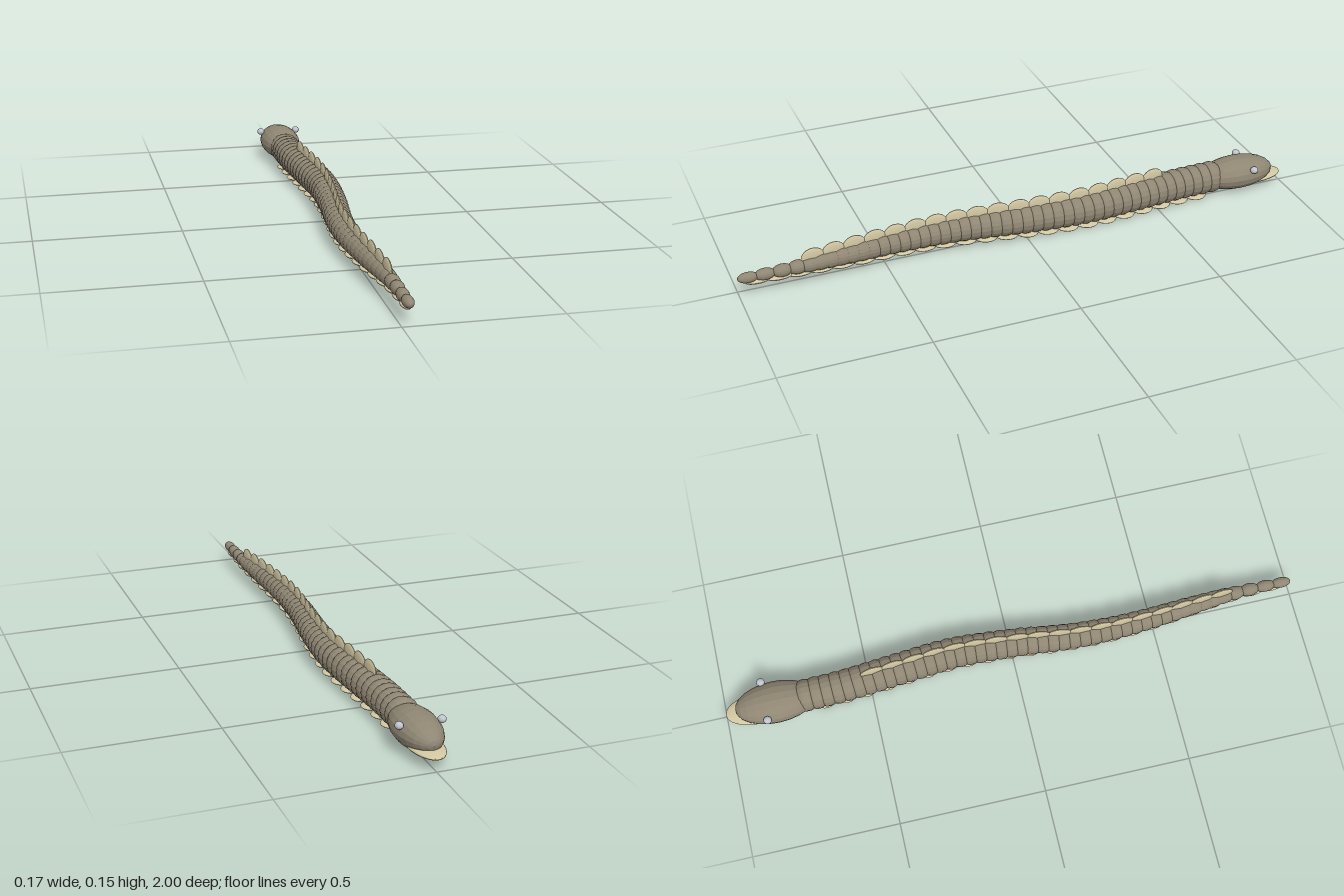
import * as THREE from 'three';

const mat = (name, color) => {
  const m = new THREE.MeshStandardMaterial({ color, flatShading: true });
  m.name = name;
  return m;
};

export function createModel() {
  const skin = mat('greyBrownSkin', 0x8f8673);
  const pale = mat('paleHorn', 0xd2c7a2);
  const eyeMat = mat('silverEye', 0xc0c4cc);
  const model = new THREE.Group();
  model.name = 'serpent';

  // spheroid with its poles along z, so the facets run like rings round the body
  const ball = new THREE.SphereGeometry(1, 18, 12).rotateX(Math.PI / 2);
  const add = (name, material, pos, size, yaw = 0, pitch = 0) => {
    const m = new THREE.Mesh(ball, material);
    m.name = name;
    m.position.set(...pos);
    m.scale.set(...size);
    m.rotation.set(pitch, yaw, 0, 'YXZ');
    model.add(m);
    return m;
  };

  // winding spine, and body radius along it
  const spine = new THREE.SplineCurve([
    [-0.8, -0.007], [-0.6, -0.003], [-0.4, 0.014], [-0.2, 0.029], [0, 0.019], [0.2, -0.002],
    [0.35, -0.007], [0.5, 0.0], [0.65, 0.013], [0.8, 0.024], [1.0, 0.026],
  ].map(p => new THREE.Vector2(...p)));
  const table = spine.getPoints(200);
  const lerpAt = (pts, z) => {
    let i = 1;
    while (i < pts.length - 1 && pts[i].x < z) i++;
    const a = pts[i - 1], b = pts[i];
    return a.y + (b.y - a.y) * (z - a.x) / (b.x - a.x);
  };
  const xAt = z => lerpAt(table, z);
  const yawAt = z => Math.atan2(xAt(z + 0.01) - xAt(z - 0.01), 0.02);
  const radii = [[-0.8, 0.056], [-0.3, 0.056], [0, 0.05], [0.3, 0.043], [0.6, 0.034], [0.8, 0.024], [1, 0.017]]
    .map(p => new THREE.Vector2(...p));
  const rAt = z => lerpAt(radii, z);
  const Y = 0.067;

  // body rings
  for (let z = -0.72; z < 0.77; z += 0.036) {
    const r = rAt(z);
    add('bodyRing', skin, [xAt(z), Y, z], [r, r, 0.046], yawAt(z));
  }
  // tail beads
  [0.8, 0.852, 0.91, 0.966].forEach(z => {
    const r = rAt(z);
    add('tailBead', skin, [xAt(z), Y, z], [r, r, 0.035], yawAt(z));
  });

  // crest discs along the back
  for (let i = 0; i < 18; i++) {
    const z = -0.485 + i * 0.0725;
    add('crestFin', pale, [xAt(z), Y + rAt(z) - 0.003, z], [0.008, 0.035, 0.041], yawAt(z));
  }
  // flat plates under the belly
  for (let i = 0; i < 23; i++) {
    const z = -0.66 + i * 0.0725;
    const r = rAt(z);
    add('bellyPlate', pale, [xAt(z), Y - r - 0.001, z], [r * 0.78, 0.008, 0.041], yawAt(z));
  }

  // head and lower jaw
  add('head', skin, [-0.007, 0.067, -0.825], [0.073, 0.057, 0.138]);
  add('lowerJaw', pale, [-0.007, 0.041, -0.885], [0.056, 0.014, 0.115]);

  // eyes
  [-1, 1].forEach(s =>
    add(s > 0 ? 'leftEye' : 'rightEye', eyeMat, [-0.007 + s * 0.069, 0.1, -0.86], [0.0135, 0.0125, 0.014]));

  return model;
}
